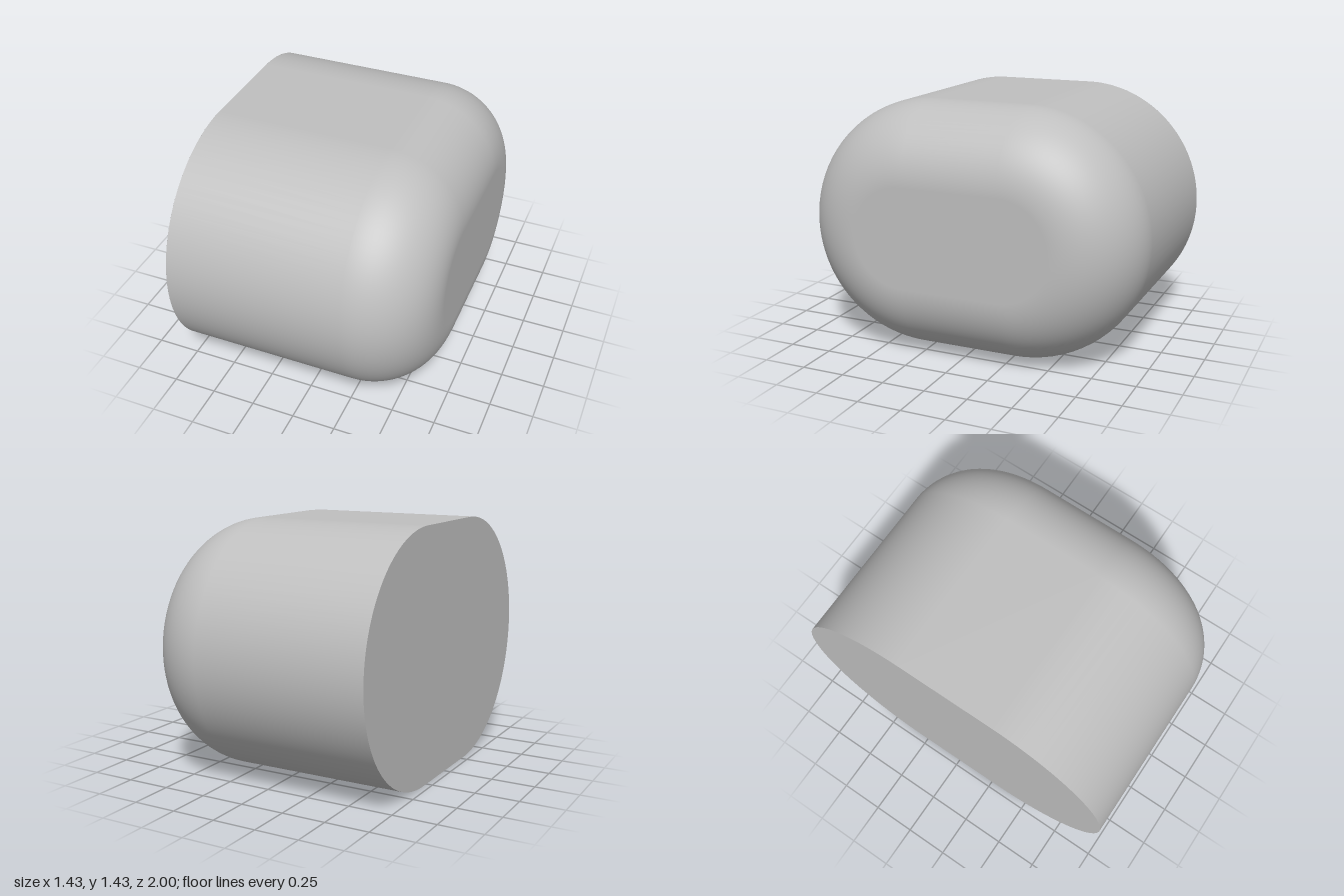
import * as THREE from 'three';

const R = 0.714;        // half height, radius of the rounded sides
const FLAT = 0.286;     // half length of the flat top and bottom
const FILLET = 0.428;   // rounding of the +x end
const X0 = -0.714, X1 = 0.286, X2 = 0.714;
const HOLE = { x: 0.16, r: 0.139, depth: 0.7 };

// Outline of a flat end: two half circles joined by straight edges
function stadium(r) {
  const s = new THREE.Shape();
  s.absarc(FLAT, 0, r, -Math.PI / 2, Math.PI / 2, false);
  s.absarc(-FLAT, 0, r, Math.PI / 2, Math.PI * 1.5, false);
  s.closePath();
  return s;
}

// Side wall and filleted end; the straight bottom strip is left open for the drilled plate
function shellGeometry() {
  const half = 40, steps = 24;
  const rings = [{ x: X0, r: R, t: 0 }];
  for (let k = 0; k <= steps; k++) {
    const t = (k / steps) * Math.PI / 2;
    rings.push({ x: X1 + FILLET * Math.sin(t), r: R - FILLET + FILLET * Math.cos(t), t });
  }
  const pos = [], nor = [], idx = [], n = 2 * (half + 1);
  for (const { x, r, t } of rings) {
    for (let i = 0; i < n; i++) {
      const second = i > half;
      const a = -Math.PI / 2 + ((second ? i - 1 : i) / half) * Math.PI;
      const c = Math.cos(a), s = Math.sin(a);
      pos.push(x, R + r * s, (second ? -FLAT : FLAT) + r * c);
      nor.push(Math.sin(t), Math.cos(t) * s, Math.cos(t) * c);
    }
  }
  for (let j = 0; j < rings.length - 1; j++) {
    for (let i = 0; i < (j === 0 ? n - 1 : n); i++) {
      const i2 = (i + 1) % n;
      const a = j * n + i, b = a + n, c = j * n + i2, d = c + n;
      idx.push(a, b, c, b, d, c);
    }
  }
  const g = new THREE.BufferGeometry();
  g.setAttribute('position', new THREE.Float32BufferAttribute(pos, 3));
  g.setAttribute('normal', new THREE.Float32BufferAttribute(nor, 3));
  g.setIndex(idx);
  return g;
}

export function createModel() {
  const group = new THREE.Group();
  group.name = 'roundedCap';
  const grey = new THREE.MeshStandardMaterial({ color: 0xbfbfbf, side: THREE.DoubleSide });
  grey.name = 'light grey';

  const add = (name, geometry) => {
    const mesh = new THREE.Mesh(geometry, grey);
    mesh.name = name;
    group.add(mesh);
  };

  add('shell', shellGeometry());

  // Flat faces at both ends
  add('cutEnd', new THREE.ShapeGeometry(stadium(R), 40).rotateY(-Math.PI / 2).translate(X0, R, 0));
  add('roundedEndFace', new THREE.ShapeGeometry(stadium(R - FILLET), 40).rotateY(Math.PI / 2).translate(X2, R, 0));

  // Bottom strip with the drilled hole
  const strip = new THREE.Shape();
  strip.moveTo(X0, -FLAT).lineTo(X1, -FLAT).lineTo(X1, FLAT).lineTo(X0, FLAT).closePath();
  const hole = new THREE.Path();
  hole.absarc(HOLE.x, 0, HOLE.r, 0, Math.PI * 2, true);
  strip.holes.push(hole);
  add('bottomStrip', new THREE.ShapeGeometry(strip, 24).rotateX(Math.PI / 2));

  // Blind hole
  add('holeWall', new THREE.CylinderGeometry(HOLE.r, HOLE.r, HOLE.depth, 48, 1, true)
    .translate(HOLE.x, HOLE.depth / 2, 0));
  add('holeFloor', new THREE.CircleGeometry(HOLE.r, 48).rotateX(Math.PI / 2)
    .translate(HOLE.x, HOLE.depth, 0));

  return group;
}
